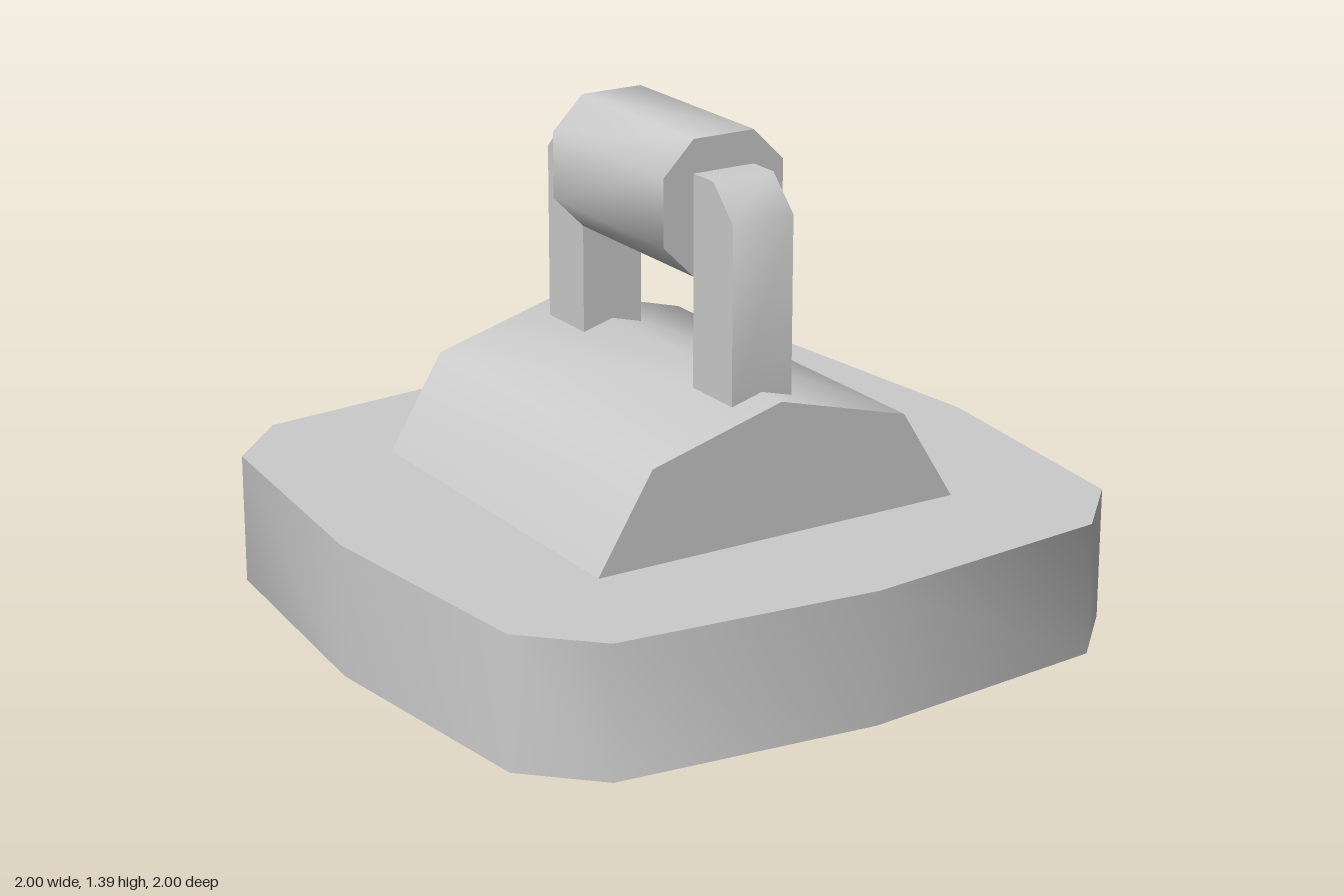
import * as THREE from 'three';
import { toCreasedNormals } from 'three/addons/utils/BufferGeometryUtils.js';

const material = new THREE.MeshStandardMaterial({ color: 0xcccccc });
const CREASE = THREE.MathUtils.degToRad(50);

// Prism with the given outline, centred along z, soft across shallow edges
function prism(points, depth) {
  const shape = new THREE.Shape(points.map(([x, y]) => new THREE.Vector2(x, y)));
  const geometry = new THREE.ExtrudeGeometry(shape, { depth, bevelEnabled: false });
  geometry.translate(0, 0, -depth / 2);
  return geometry;
}

function part(name, geometry) {
  const mesh = new THREE.Mesh(toCreasedNormals(geometry, CREASE), material);
  mesh.name = name;
  return mesh;
}

export function createModel() {
  const model = new THREE.Group();
  model.name = 'handledWeight';

  // Base: square plate with bowed sides and cut corners
  const outline = [];
  for (let i = 0; i < 4; i++) {
    const a = (i * Math.PI) / 2, c = Math.cos(a), s = Math.sin(a);
    for (const [x, y] of [[1, 0], [0.926, 0.74], [0.74, 0.926]]) {
      outline.push([x * c - y * s, x * s + y * c]);
    }
  }
  const base = prism(outline, 0.37).rotateX(-Math.PI / 2).translate(0, 0.185, 0);
  model.add(part('base', base));

  // Saddle: faceted hump running front to back
  const saddle = [[-0.555, 0.37], [0.555, 0.37], [0.393, 0.632], [0, 0.74], [-0.393, 0.632]];
  model.add(part('saddle', prism(saddle, 1.11)));

  // Posts: front and back, with the outer top edge cut off
  const post = [[0.278, 0.715], [0.463, 0.715], [0.463, 1.205], [0.37, 1.298], [0.278, 1.298]];
  for (const side of [1, -1]) {
    const geometry = prism(post, 0.186).rotateY((-side * Math.PI) / 2);
    model.add(part(side > 0 ? 'frontPost' : 'backPost', geometry));
  }

  // Grip: eight-sided bar between the posts
  const r = 0.185, h = 0.093;
  const grip = [[r, -h], [r, h], [h, r], [-h, r], [-r, h], [-r, -h], [-h, -r], [h, -r]];
  model.add(part('grip', prism(grip, 0.556).translate(0, 1.205, 0)));

  return model;
}
